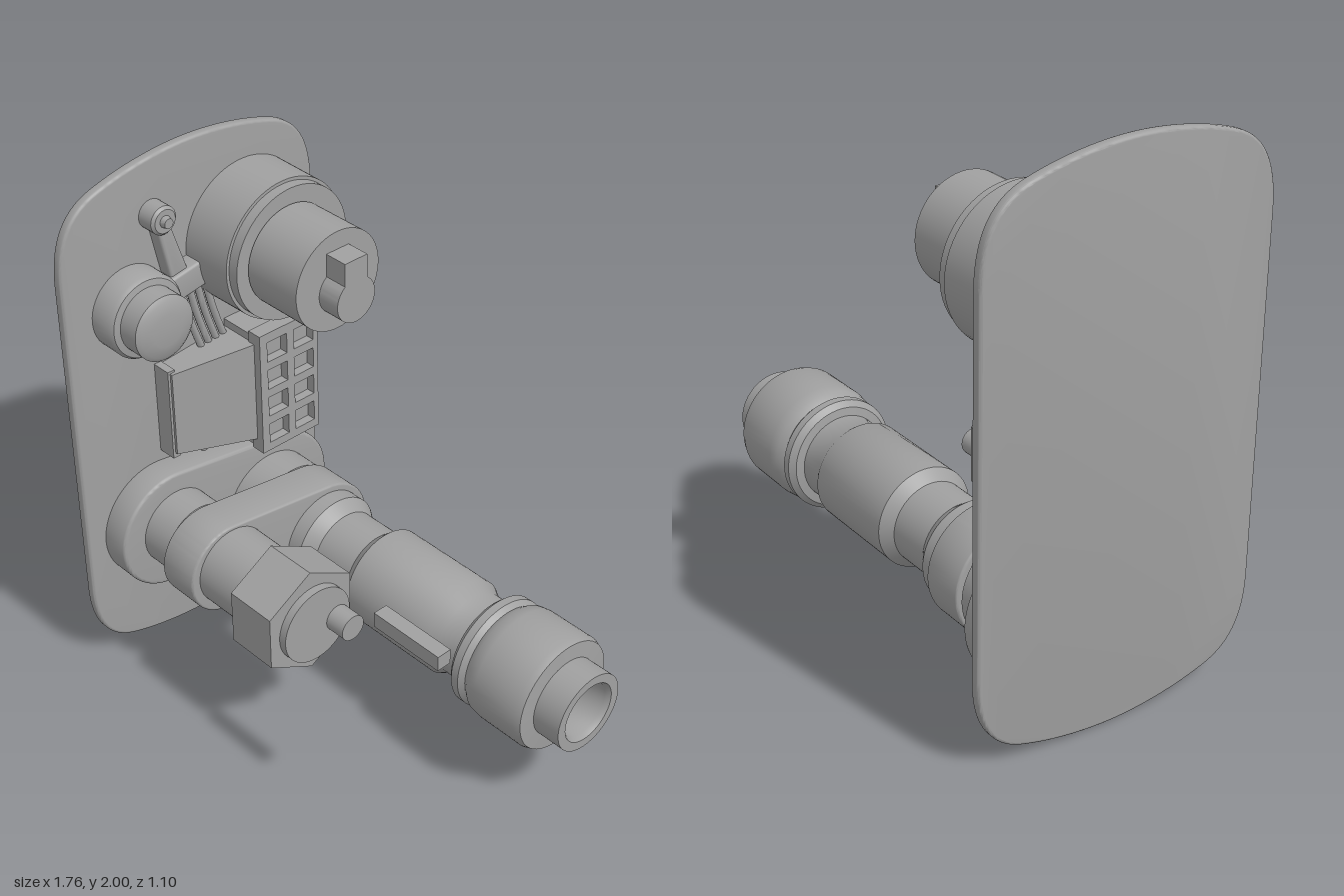
import * as THREE from 'three';
import { toCreasedNormals } from 'three/addons/utils/BufferGeometryUtils.js';

const grey = new THREE.MeshStandardMaterial({ color: 0xa0a0a0 });
grey.name = 'plain grey';

export function createModel() {
  const root = new THREE.Group();
  root.name = 'wallPanelMachine';

  const add = (name, geo, crease = 0.6) => {
    const mesh = new THREE.Mesh(toCreasedNormals(geo, crease), grey);
    mesh.name = name;
    root.add(mesh);
    return mesh;
  };

  // Turned part along x; profile is [x, radius] pairs from the wall outwards
  const turned = (name, y, z, profile, segments = 48) => {
    const points = profile.map(([x, r]) => new THREE.Vector2(r, x));
    const geo = new THREE.LatheGeometry(points, segments).rotateZ(-Math.PI / 2);
    return add(name, geo.translate(0, y, z));
  };

  // Outline drawn in (u = -z, y), extruded along x from x0 to x1
  const extruded = (name, shape, x0, x1, bevel = 0) => {
    const geo = new THREE.ExtrudeGeometry(shape, {
      depth: x1 - x0 - 2 * bevel, curveSegments: 24, bevelEnabled: bevel > 0,
      bevelSize: bevel, bevelThickness: bevel, bevelOffset: -bevel, bevelSegments: 3,
    });
    return add(name, geo.translate(0, 0, x0 + bevel).rotateY(Math.PI / 2));
  };

  // Belt outline round two circles
  const belt = (u1, y1, r1, u2, y2, r2) => {
    const a = Math.atan2(y2 - y1, u2 - u1);
    const b = Math.acos((r1 - r2) / Math.hypot(u2 - u1, y2 - y1));
    const s = new THREE.Shape();
    s.absarc(u1, y1, r1, a + b, a - b + 2 * Math.PI, false);
    s.absarc(u2, y2, r2, a - b, a + b, false);
    return s;
  };

  const box = (name, x0, x1, y0, y1, z0, z1) =>
    add(name, new THREE.BoxGeometry(x1 - x0, y1 - y0, z1 - z0)
      .translate((x0 + x1) / 2, (y0 + y1) / 2, (z0 + z1) / 2));

  // Wall plate
  const plate = new THREE.Shape();
  plate.moveTo(0.55, 0.36);
  plate.lineTo(0.55, 1.64);
  plate.bezierCurveTo(0.55, 1.8, 0.5, 1.9, 0.38, 1.94);
  plate.bezierCurveTo(0.26, 1.98, 0.12, 2, 0, 2);
  plate.bezierCurveTo(-0.12, 2, -0.26, 1.98, -0.38, 1.94);
  plate.bezierCurveTo(-0.5, 1.9, -0.55, 1.8, -0.55, 1.64);
  plate.lineTo(-0.55, 0.36);
  plate.bezierCurveTo(-0.55, 0.2, -0.5, 0.1, -0.38, 0.06);
  plate.bezierCurveTo(-0.26, 0.02, -0.12, 0, 0, 0);
  plate.bezierCurveTo(0.12, 0, 0.26, 0.02, 0.38, 0.06);
  plate.bezierCurveTo(0.5, 0.1, 0.55, 0.2, 0.55, 0.36);
  extruded('wallPlate', plate, -0.88, -0.84, 0.01);

  // Large upper drum with its keyhole-shaped handle
  turned('largeDrum', 1.58, -0.235, [[-0.85, 0], [-0.85, 0.265], [-0.63, 0.262],
    [-0.63, 0.25], [-0.59, 0.25], [-0.59, 0]], 64);
  turned('largeDrumCap', 1.59, -0.215, [[-0.6, 0], [-0.6, 0.172], [-0.58, 0.172],
    [-0.58, 0.187], [-0.34, 0.187], [-0.34, 0]], 64);
  const key = new THREE.Shape();
  const half = Math.asin(0.05 / 0.085);
  key.moveTo(0.265, 1.71);
  key.lineTo(0.165, 1.71);
  key.absarc(0.215, 1.555, 0.085, Math.PI / 2 + half, Math.PI * 2.5 - half, false);
  key.lineTo(0.265, 1.71);
  extruded('keyHandle', key, -0.35, -0.25);

  // Small knob with a softly domed face
  turned('smallKnob', 1.475, 0.285, [[-0.85, 0], [-0.85, 0.155], [-0.75, 0.155],
    [-0.735, 0.145], [-0.73, 0.122], [-0.65, 0.122], [-0.638, 0.105], [-0.63, 0.06], [-0.628, 0]]);

  // Lever and the arm joining knob and drum
  extruded('lever', belt(-0.165, 1.785, 0.025, -0.09, 1.5, 0.04), -0.85, -0.785, 0.01);
  turned('leverTip', 1.785, 0.165, [[-0.85, 0], [-0.85, 0.053], [-0.775, 0.053],
    [-0.765, 0.043], [-0.765, 0.022], [-0.745, 0.018], [-0.745, 0]], 24);
  extruded('knobArm', belt(-0.2, 1.49, 0.05, 0.02, 1.53, 0.05), -0.85, -0.77, 0.01);

  // Keypad housing: a block that widens towards the keypad
  const housing = new THREE.BoxGeometry(1, 1, 1, 1, 1, 1);
  const p = housing.attributes.position;
  for (let i = 0; i < p.count; i++) {
    const wide = p.getZ(i) < 0, outer = p.getX(i) > 0, top = p.getY(i) > 0;
    p.setXYZ(i, outer ? (wide ? -0.67 : -0.755) : -0.85,
      top ? (wide ? 1.22 : 1.19) : (wide ? 0.81 : 0.85), wide ? -0.12 : 0.19);
  }
  housing.computeVertexNormals();
  add('keypadHousing', housing);
  box('housingEndCap', -0.85, -0.765, 0.83, 1.2, 0.17, 0.2);

  // Keypad frame with eight recesses
  box('keypadBlock', -0.85, -0.675, 0.77, 1.25, -0.38, -0.12);
  const frame = new THREE.Shape([[0.115, 0.76], [0.387, 0.76], [0.387, 1.265], [0.115, 1.265]]
    .map(([u, y]) => new THREE.Vector2(u, y)));
  for (const u of [0.195, 0.32]) {
    for (let row = 0; row < 4; row++) {
      const y = 0.835 + row * 0.117, w = 0.046, h = 0.041;
      frame.holes.push(new THREE.Path([[u - w, y - h], [u - w, y + h], [u + w, y + h], [u + w, y - h]]
        .map(([a, b]) => new THREE.Vector2(a, b))));
    }
  }
  extruded('keypadFrame', frame, -0.7, -0.64);

  // Round lugs beside the keypad
  for (const y of [0.89, 1.125]) {
    add('keypadLug', new THREE.SphereGeometry(1, 24, 16).scale(0.08, 0.072, 0.07)
      .translate(-0.78, y, -0.39), 1);
  }

  // Cables running down the plate
  for (let i = 0; i < 4; i++) {
    const s = i * 0.035;
    const runs = [[[1.5, 0.09 - s], [1.33, 0.05 - s], [1.15, -0.01 - s]],
      [[0.85, 0.05 - s], [0.74, 0.02 - s], [0.6, -0.06 - s]]];
    for (const run of runs) {
      const curve = new THREE.CatmullRomCurve3(run.map(([y, z]) => new THREE.Vector3(-0.815, y, z)));
      add('cable', new THREE.TubeGeometry(curve, 10, 0.014, 8), 1);
    }
  }

  // Lower base and the collar joining the two barrels
  extruded('barrelBase', belt(-0.24, 0.555, 0.235, 0.245, 0.463, 0.255), -0.85, -0.73, 0.012);
  extruded('barrelCollar', belt(-0.24, 0.555, 0.175, 0.213, 0.457, 0.21), -0.585, -0.42, 0.008);

  // Long barrel with an open end
  turned('longBarrel', 0.455, -0.213, [[-0.74, 0], [-0.74, 0.2], [-0.6, 0.2], [-0.6, 0.185],
    [-0.43, 0.185], [-0.36, 0.185], [-0.31, 0.15], [-0.14, 0.15], [-0.1, 0.185], [0.29, 0.185],
    [0.33, 0.16], [0.42, 0.16], [0.425, 0.19], [0.445, 0.21], [0.475, 0.21], [0.495, 0.195],
    [0.52, 0.213], [0.56, 0.219], [0.74, 0.219], [0.765, 0.21], [0.77, 0.15], [0.88, 0.15],
    [0.88, 0.115], [0.86, 0.105], [0.77, 0.105], [0.77, 0]], 64);

  // Short barrel, hexagonal nut and off-centre pin
  turned('shortBarrel', 0.565, 0.23, [[-0.74, 0], [-0.74, 0.15], [-0.6, 0.15], [-0.6, 0.14],
    [-0.57, 0.14], [-0.57, 0.152], [0.03, 0.148], [0.03, 0]]);
  const nut = new THREE.Shape();
  for (let i = 0; i < 6; i++) {
    const a = Math.PI / 2 + i * Math.PI / 3;
    nut[i ? 'lineTo' : 'moveTo'](-0.235 + 0.212 * Math.cos(a), 0.57 + 0.212 * Math.sin(a));
  }
  extruded('hexNut', nut, -0.2, 0);
  turned('endPin', 0.548, 0.14, [[0.02, 0], [0.02, 0.05], [0.11, 0.05], [0.11, 0]], 24);

  // Loose floating bar
  box('floatingBar', 0.5, 0.78, 0.975, 1.03, 0.362, 0.415);

  return root;
}
